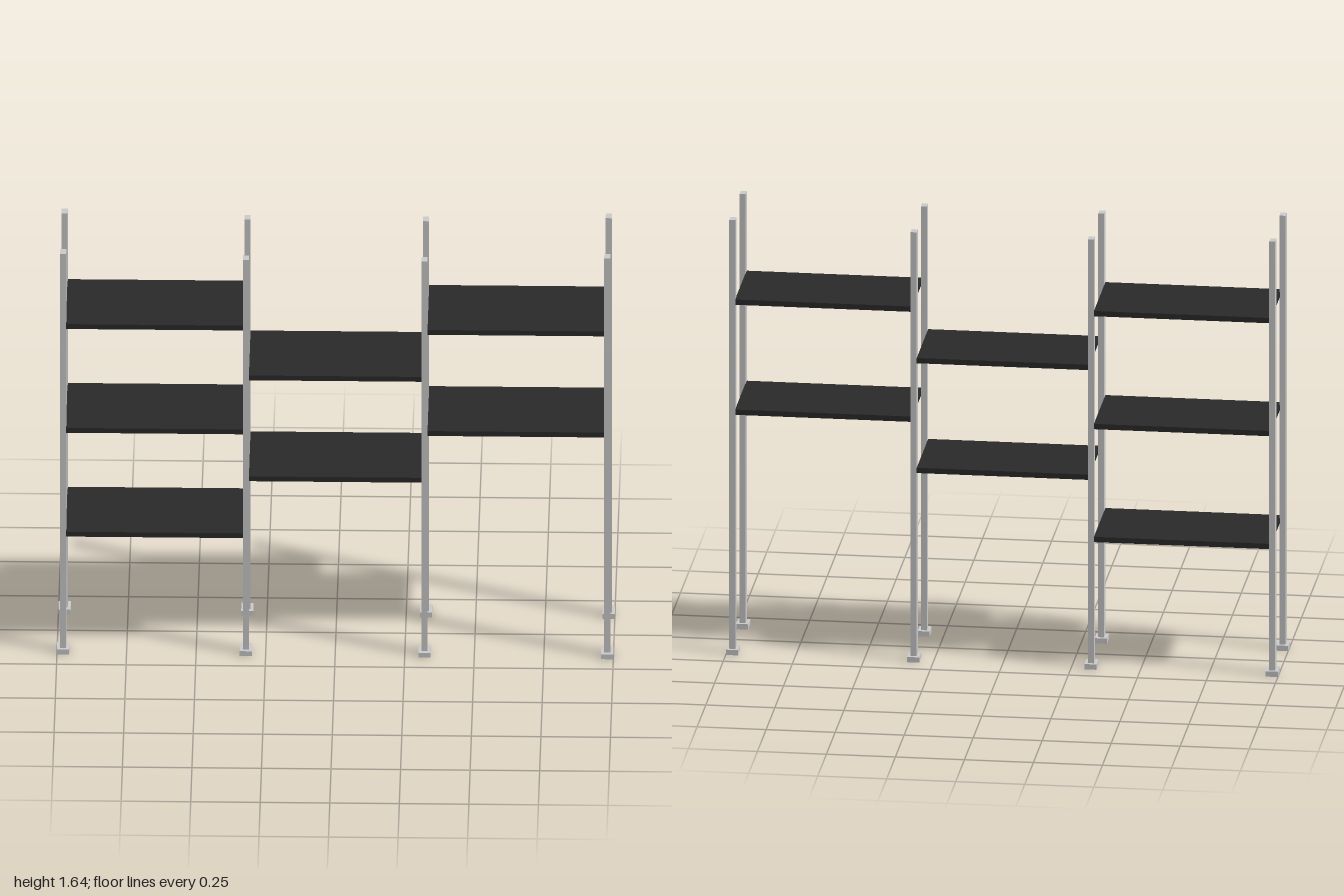
import * as THREE from 'three';

const grey = new THREE.MeshStandardMaterial({ color: 0xcccccc });
const black = new THREE.MeshStandardMaterial({ color: 0x2a2a2a });

const POST_W = 0.022, POST_D = 0.035, POST_Z = 0.148;
const FOOT_W = 0.044, FOOT_D = 0.06, FOOT_H = 0.02;
const SHELF_T = 0.02, SHELF_D = 0.33;

function box(name, w, h, d, x, y, z, material) {
  const mesh = new THREE.Mesh(new THREE.BoxGeometry(w, h, d), material);
  mesh.name = name;
  mesh.position.set(x, y, z);
  return mesh;
}

// Rectangular collar, open in the middle where the post sits
function footGeometry() {
  const rect = (path, w, d) => path.moveTo(-w / 2, -d / 2).lineTo(w / 2, -d / 2)
    .lineTo(w / 2, d / 2).lineTo(-w / 2, d / 2).closePath();
  const shape = rect(new THREE.Shape(), FOOT_W, FOOT_D);
  shape.holes.push(rect(new THREE.Path(), POST_W, POST_D));
  return new THREE.ExtrudeGeometry(shape, { depth: FOOT_H, bevelEnabled: false }).rotateX(-Math.PI / 2);
}

export function createModel() {
  const model = new THREE.Group();
  model.name = 'shelvingUnit';

  // Four pairs of posts on feet; the outer pairs are slightly taller
  const footGeo = footGeometry();
  const base = 0.01;
  for (const [x, top] of [[-0.978, 1.645], [-0.321, 1.626], [0.321, 1.626], [0.978, 1.645]]) {
    for (const z of [-POST_Z, POST_Z]) {
      const upright = new THREE.Group();
      upright.name = 'upright';
      upright.position.set(x, 0, z);
      upright.add(box('post', POST_W, top - base, POST_D, 0, (top + base) / 2, 0, grey));
      const foot = new THREE.Mesh(footGeo, grey);
      foot.name = 'foot';
      upright.add(foot);
      model.add(upright);
    }
  }

  // Shelves of each bay, spanning between neighbouring posts
  const bays = [
    { name: 'rightBayShelf', x0: -0.968, x1: -0.332, heights: [0.489, 0.917, 1.345] },
    { name: 'middleBayShelf', x0: -0.31, x1: 0.31, heights: [0.724, 1.14] },
    { name: 'leftBayShelf', x0: 0.332, x1: 0.968, heights: [0.917, 1.334] },
  ];
  for (const { name, x0, x1, heights } of bays) {
    for (const y of heights) {
      model.add(box(name, x1 - x0, SHELF_T, SHELF_D, (x0 + x1) / 2, y, 0, black));
    }
  }
  return model;
}
